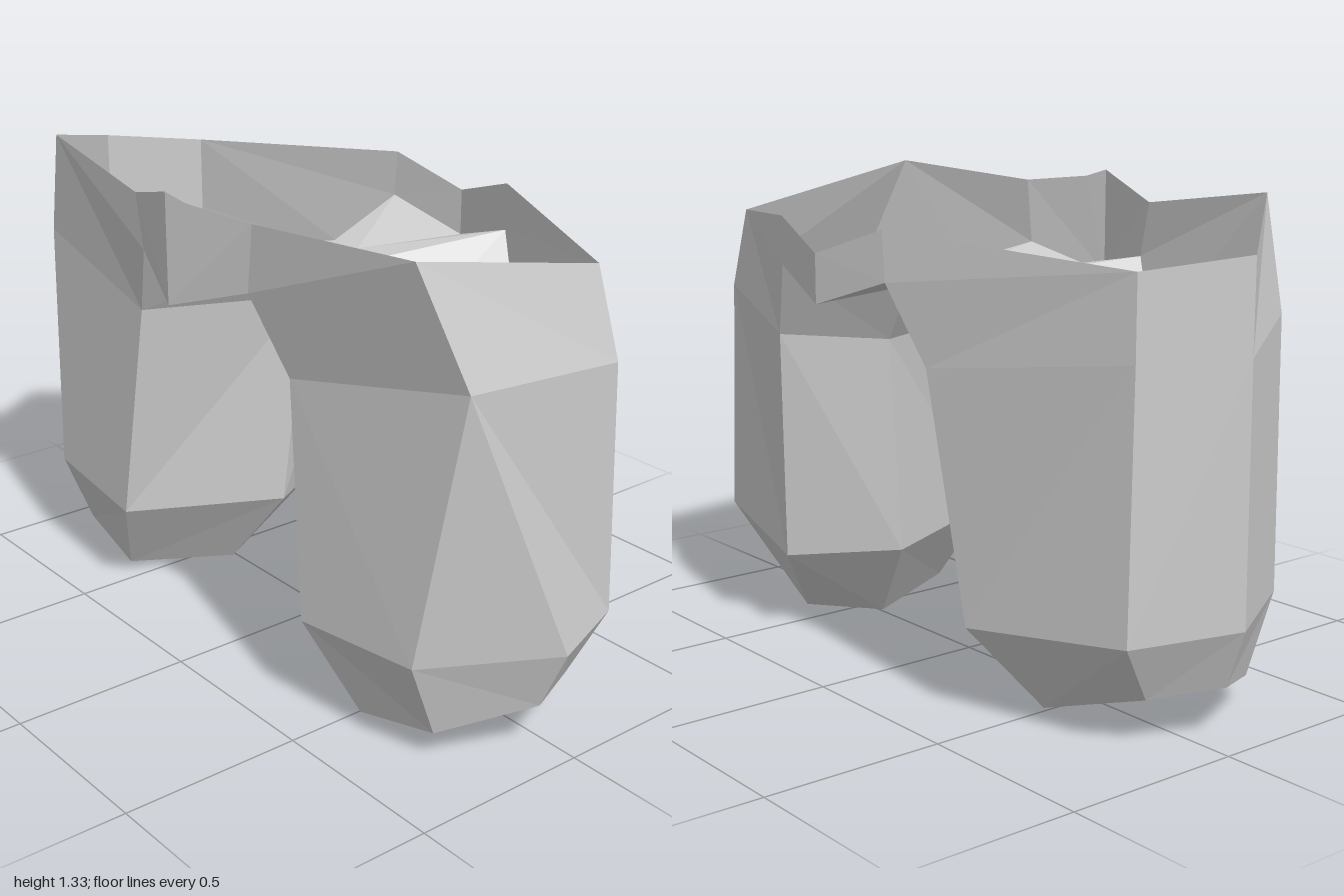
import * as THREE from 'three';

const material = new THREE.MeshStandardMaterial({
  color: 0xcccccc, flatShading: true, side: THREE.DoubleSide,
});

// Collects flat polygons as triangle fans; flip reverses the winding for the mirrored side.
function makePanel(name, polygons, flip = false) {
  const positions = [];
  for (const poly of polygons) {
    for (let i = 1; i < poly.length - 1; i++) {
      const tri = [poly[0], poly[i], poly[i + 1]];
      if (new Set(tri.map(String)).size < 3) continue; // merged corners
      if (flip) tri.reverse();
      positions.push(...tri.flat());
    }
  }
  const geometry = new THREE.BufferGeometry();
  geometry.setAttribute('position', new THREE.Float32BufferAttribute(positions, 3));
  geometry.computeVertexNormals();
  const mesh = new THREE.Mesh(geometry, material);
  mesh.name = name;
  return mesh;
}

// Closed band between two rings of equal length
function band(lower, upper) {
  return lower.map((p, i) => {
    const j = (i + 1) % lower.length;
    return [upper[i], p, lower[j], upper[j]];
  });
}

// Ring order: front, front outer, side, back outer, back, inner
const KNEE = [[0.41, 0.27, 0.40], [0.80, 0.295, 0.37], [1.0, 0.305, 0.045],
  [0.88, 0.285, -0.23], [0.41, 0.24, -0.34], [0.25, 0.24, -0.05]];
const HEM = [[0.54, 0.03, 0.31], [0.79, 0.08, 0.285], [0.93, 0.14, 0.06],
  [0.84, 0.125, -0.125], [0.54, 0.03, -0.19], [0.43, 0.0, 0.01]];

// Points shared by both sides: upper thigh and lower edge of the waist
const THIGH = { front: [0.33, 0.9, 0.37], back: [0.33, 0.9, -0.40], inner: [0.22, 0.87, -0.11] };
const WAIST = { front: [0.23, 1.105, 0.42], back: [0.23, 1.105, -0.45], inner: [0.10, 1.06, -0.12] };

// The hips differ: the left one has a merged front and side corner
const HIPS = {
  left: {
    sign: 1,
    outer: [[0.91, 1.02, 0.31], [0.91, 1.02, 0.31], [0.87, 0.965, -0.215]],
    rim: [[0.25, 1.285, 0.42], [0.79, 1.315, 0.375], [0.79, 1.315, 0.375],
      [0.79, 1.195, -0.215], [0.23, 1.235, -0.45]],
  },
  right: {
    sign: -1,
    outer: [[0.80, 1.02, 0.36], [1.0, 0.97, 0.04], [0.88, 0.965, -0.22]],
    rim: [[0.26, 1.255, 0.42], [0.72, 1.315, 0.38], [1.0, 1.21, 0.04],
      [0.88, 1.18, -0.22], [0.22, 1.235, -0.45]],
  },
};

function makeSide(name, { sign, outer, rim }) {
  const place = (p) => [p[0] * sign, p[1], p[2]];
  const flip = sign < 0;
  const side = new THREE.Group();
  side.name = name + 'Side';

  // Open leg tube with a tapered hem
  const thigh = [THIGH.front, ...outer, THIGH.back, THIGH.inner];
  const put = (polys) => polys.map((poly) => poly.map(place));
  side.add(makePanel(name + 'Leg', put(band(KNEE, thigh)), flip));
  side.add(makePanel(name + 'Hem', put(band(HEM, KNEE)), flip));

  // Hip from the thigh up to the rim, and the inner thigh up to the crotch
  side.add(makePanel(name + 'Hip', put([
    [rim[1], rim[0], WAIST.front, THIGH.front, outer[0]],
    [rim[1], outer[0], outer[1], rim[2]],
    [rim[2], outer[1], outer[2], rim[3]],
    [rim[3], outer[2], THIGH.back, WAIST.back, rim[4]],
    [WAIST.inner, THIGH.inner, THIGH.front, WAIST.front],
    [WAIST.back, THIGH.back, THIGH.inner, WAIST.inner],
  ]), flip));

  // Half of the waistband centre and of the crotch floor
  const topFront = [0, 1.325, 0.5], topBack = [0, 1.16, -0.5];
  const lowFront = [0, 1.03, 0.5], lowBack = [0, 1.03, -0.5];
  const floor = [0, 1.06, -0.12];
  const dip = sign > 0 ? [[0.06, 1.305, 0.48]] : [];
  side.add(makePanel(name + 'Waistband', put([
    [lowFront, WAIST.front, rim[0], ...dip, topFront],
    [WAIST.back, lowBack, topBack, rim[4]],
  ]), flip));
  side.add(makePanel(name + 'Crotch', put([
    [floor, WAIST.inner, WAIST.front, lowFront],
    [floor, lowBack, WAIST.back, WAIST.inner],
  ]), flip));
  return side;
}

export function createModel() {
  const model = new THREE.Group();
  model.name = 'shorts';
  for (const [name, hip] of Object.entries(HIPS)) model.add(makeSide(name, hip));
  return model;
}
